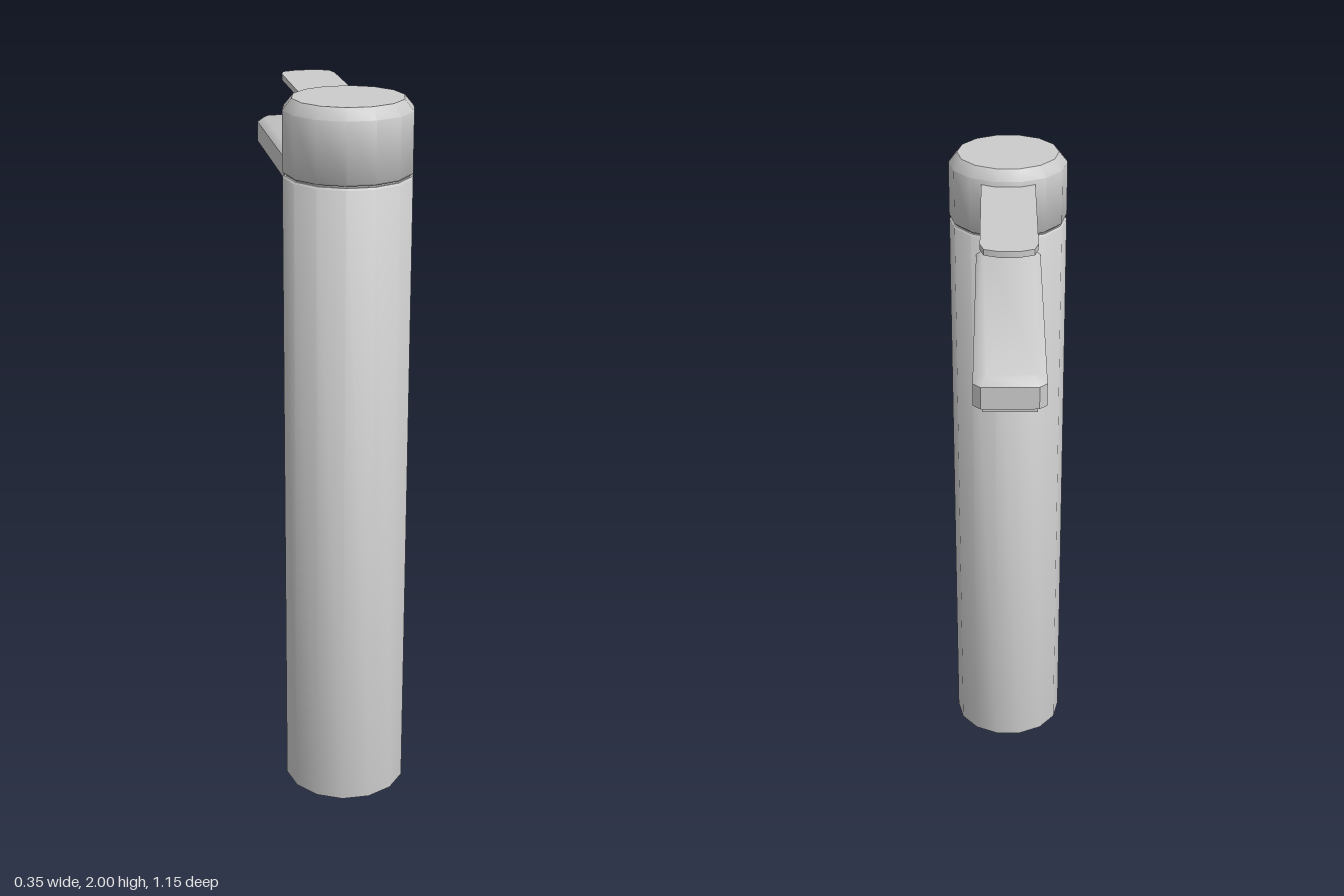
import * as THREE from 'three';
import { toCreasedNormals } from 'three/addons/utils/BufferGeometryUtils.js';

const SIDES = 14;
const AXIS_Z = 0.406; // the column stands towards the front

export function createModel() {
  const group = new THREE.Group();
  const material = new THREE.MeshStandardMaterial({ color: 0xcccccc });

  function add(name, geometry) {
    const mesh = new THREE.Mesh(toCreasedNormals(geometry, 0.78), material);
    mesh.name = name;
    group.add(mesh);
    return mesh;
  }

  // Turned part from [radius, height] points, with corners on the x axis
  function turned(name, profile) {
    const points = profile.map(([r, y]) => new THREE.Vector2(r, y));
    add(name, new THREE.LatheGeometry(points, SIDES, Math.PI / 2)).position.z = AXIS_Z;
  }

  // Flat plate from half of a plan outline given as [x, reach backwards], mirrored and extruded upwards
  function plate(half, height, steps) {
    const outline = [...half, ...half.map(([x, r]) => [-x, r]).reverse()];
    const shape = new THREE.Shape(outline.map(([x, r]) => new THREE.Vector2(x, r)));
    const geometry = new THREE.ExtrudeGeometry(shape, { depth: height, steps, bevelEnabled: false });
    return geometry.rotateX(-Math.PI / 2);
  }

  // Column, recessed joint and chamfered cap
  turned('column', [[0, 0], [0.173, 0], [0.173, 1.795], [0.168, 1.8], [0, 1.8]]);
  turned('joint', [[0, 1.79], [0.163, 1.79], [0.163, 1.815], [0, 1.815]]);
  turned('cap', [[0, 1.805], [0.168, 1.805], [0.173, 1.81], [0.173, 1.97], [0.148, 2], [0, 2]]);

  // Spout: straight sides, clipped end corners, chamfered upper edge
  const height = 0.08;
  const spout = plate([[0.0935, -0.33], [0.0935, 0.558], [0.0735, 0.578]], height, 2);
  const p = spout.attributes.position;
  for (let i = 0; i < p.count; i++) {
    const y = p.getY(i);
    if (y > height * 0.75) {
      p.setX(i, p.getX(i) * 0.79);
      if (p.getZ(i) < 0) p.setZ(i, p.getZ(i) + 0.02);
    } else if (y > height * 0.25) {
      p.setY(i, 0.061);
    }
  }
  add('spout', spout).position.y = 1.68;

  // Outlet under the spout tip
  add('outlet', new THREE.BoxGeometry(0.14, 0.035, 0.086)).position.set(0, 1.6725, -0.503);

  // Thin lever with a rounded tip
  const lever = plate([[0.077, -0.32], [0.077, 0.18], [0.067, 0.216], [0.026, 0.232]], 0.017, 1);
  add('lever', lever).position.y = 1.939;

  return group;
}
